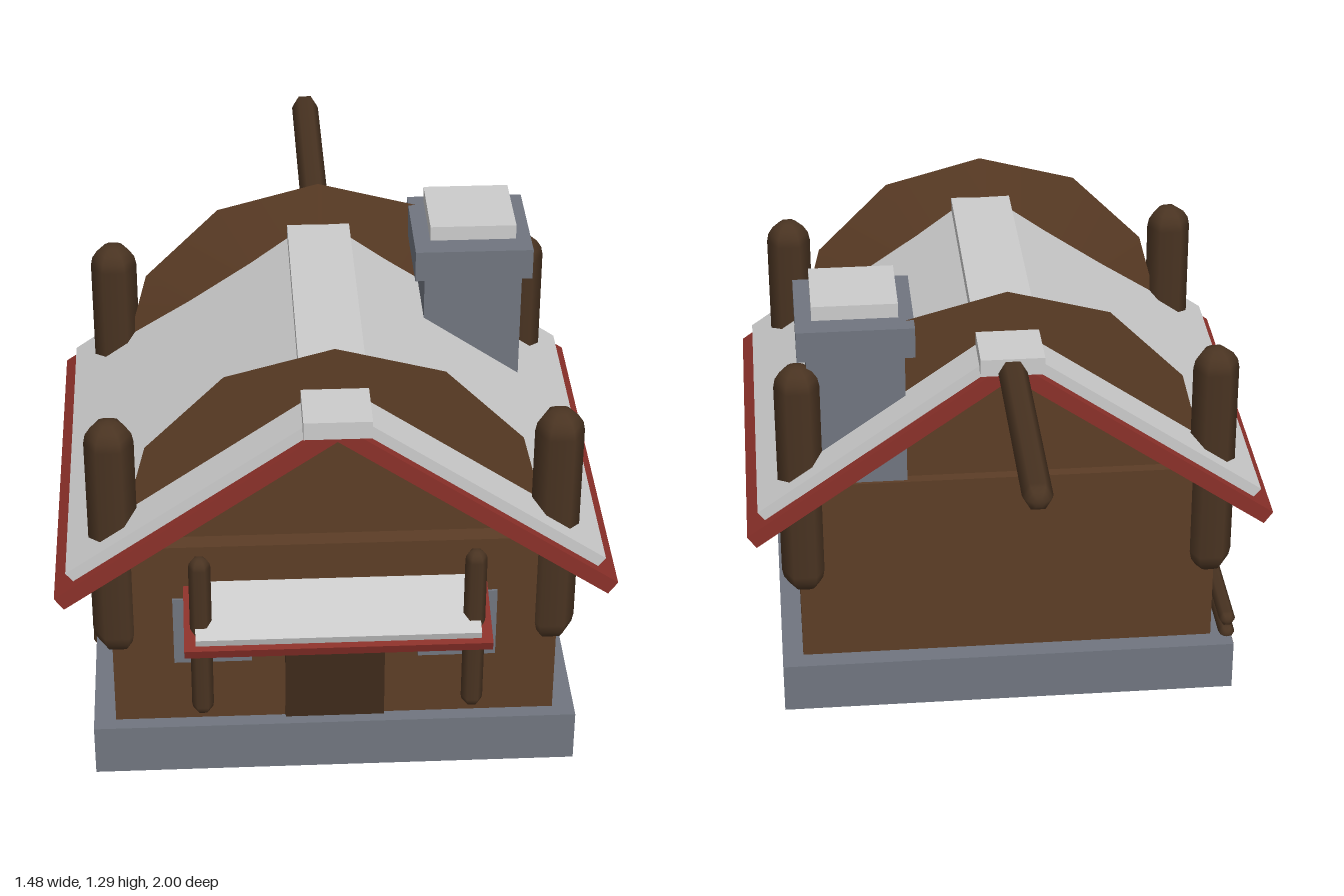
import * as THREE from 'three';

const mat = (color) => new THREE.MeshStandardMaterial({ color });

export function createModel() {
  const house = new THREE.Group();
  house.name = 'house';
  const wood = mat(0x5c3d26), darkWood = mat(0x4a3422), doorWood = mat(0x3d2a1a);
  const red = mat(0x8a3029), stone = mat(0x70757f), paleGrey = mat(0xcccccc);

  const add = (name, geometry, material, x = 0, y = 0, z = 0) => {
    const mesh = new THREE.Mesh(geometry, material);
    mesh.name = name;
    mesh.position.set(x, y, z);
    house.add(mesh);
    return mesh;
  };
  // Box given by its min and max on each axis
  const box = (name, material, [x0, x1], [y0, y1], [z0, z1]) =>
    add(name, new THREE.BoxGeometry(x1 - x0, y1 - y0, z1 - z0), material,
      (x0 + x1) / 2, (y0 + y1) / 2, (z0 + z1) / 2);
  // Six-sided log with round ends; length is overall
  const log = (name, radius, length, x, y, z) =>
    add(name, new THREE.CapsuleGeometry(radius, length - 2 * radius, 4, 6), darkWood, x, y, z);
  // Sloped roof layer from a cross-section, mirrored by side
  const slab = (name, material, points, side, z0, z1) => {
    const shape = new THREE.Shape(points.map(([x, y]) => new THREE.Vector2(x * side, y)));
    add(name, new THREE.ExtrudeGeometry(shape, { depth: z1 - z0, bevelEnabled: false }), material, 0, 0, z0);
  };

  // Foundation and walls
  box('foundation', stone, [-0.66, 0.66], [0, 0.15], [-0.24, 0.84]);
  box('walls', wood, [-0.6, 0.6], [0.15, 0.72], [-0.18, 0.8]);
  box('door', doorWood, [-0.135, 0.135], [0.15, 0.53], [0.78, 0.81]);

  // Rounded gables: flat outside, sloping inward behind
  for (const [name, z, turn] of [['frontGable', 0.75, 0], ['backGable', -0.147, Math.PI]]) {
    const depth = 0.095;
    const cone = new THREE.ConeGeometry(0.57, depth, 6, 1, false, -Math.PI / 2, Math.PI);
    cone.translate(0, depth / 2, 0).rotateX(-Math.PI / 2);
    add(name, cone, wood, 0, 0.72, z).rotation.y = turn;
  }

  // Roof layers, windows and posts on both sides
  for (const side of [-1, 1]) {
    const label = side > 0 ? 'left' : 'right';
    slab(label + 'RoofEdge', red,
      [[0.717, 0.6], [0.742, 0.635], [0, 1.155], [0, 1.102]], side, -0.3, 0.895);
    slab(label + 'RoofCover', paleGrey,
      [[0.69, 0.671], [0.71, 0.696], [0.07, 1.143], [0.07, 1.104]], side, -0.27, 0.868);
    const wx = side * 0.33;
    box(label + 'Window', stone, [wx - 0.105, wx + 0.105], [0.345, 0.555], [0.78, 0.807]);
    log(label + 'FrontPost', 0.065, 0.725, side * 0.585, 0.738, 0.765);
    log(label + 'BackPost', 0.065, 0.725, side * 0.585, 0.738, -0.165);
    log(label + 'AwningPost', 0.029, 0.505, side * 0.36, 0.527, 0.93);
  }

  // Ridge and projecting ridge pole
  box('ridgeCap', paleGrey, [-0.088, 0.088], [1.12, 1.17], [-0.315, 0.91]);
  log('ridgePole', 0.04, 0.9, 0, 1.128, -0.55).rotation.x = Math.PI / 2;

  // Awning over the door
  const tilt = 0.32;
  add('awningEdge', new THREE.BoxGeometry(0.81, 0.03, 0.22), red, 0, 0.549, 0.891).rotation.x = tilt;
  add('awningCover', new THREE.BoxGeometry(0.75, 0.025, 0.19), paleGrey, 0, 0.575, 0.898).rotation.x = tilt;

  // Chimney
  box('chimneyShaft', stone, [0.285, 0.557], [0.65, 1.13], [-0.17, 0.105]);
  box('chimneyCollar', stone, [0.257, 0.583], [1.125, 1.215], [-0.197, 0.13]);
  box('chimneyNeck', stone, [0.33, 0.507], [1.21, 1.235], [-0.122, 0.055]);
  box('chimneyCap', paleGrey, [0.3, 0.538], [1.228, 1.27], [-0.152, 0.086]);

  // Stacked firewood on the right side
  for (let i = 0; i < 3; i++)
    log('firewood', 0.024, 0.6, -0.648, 0.11 + i * 0.046, 0.1).rotation.x = Math.PI / 2;

  return house;
}
